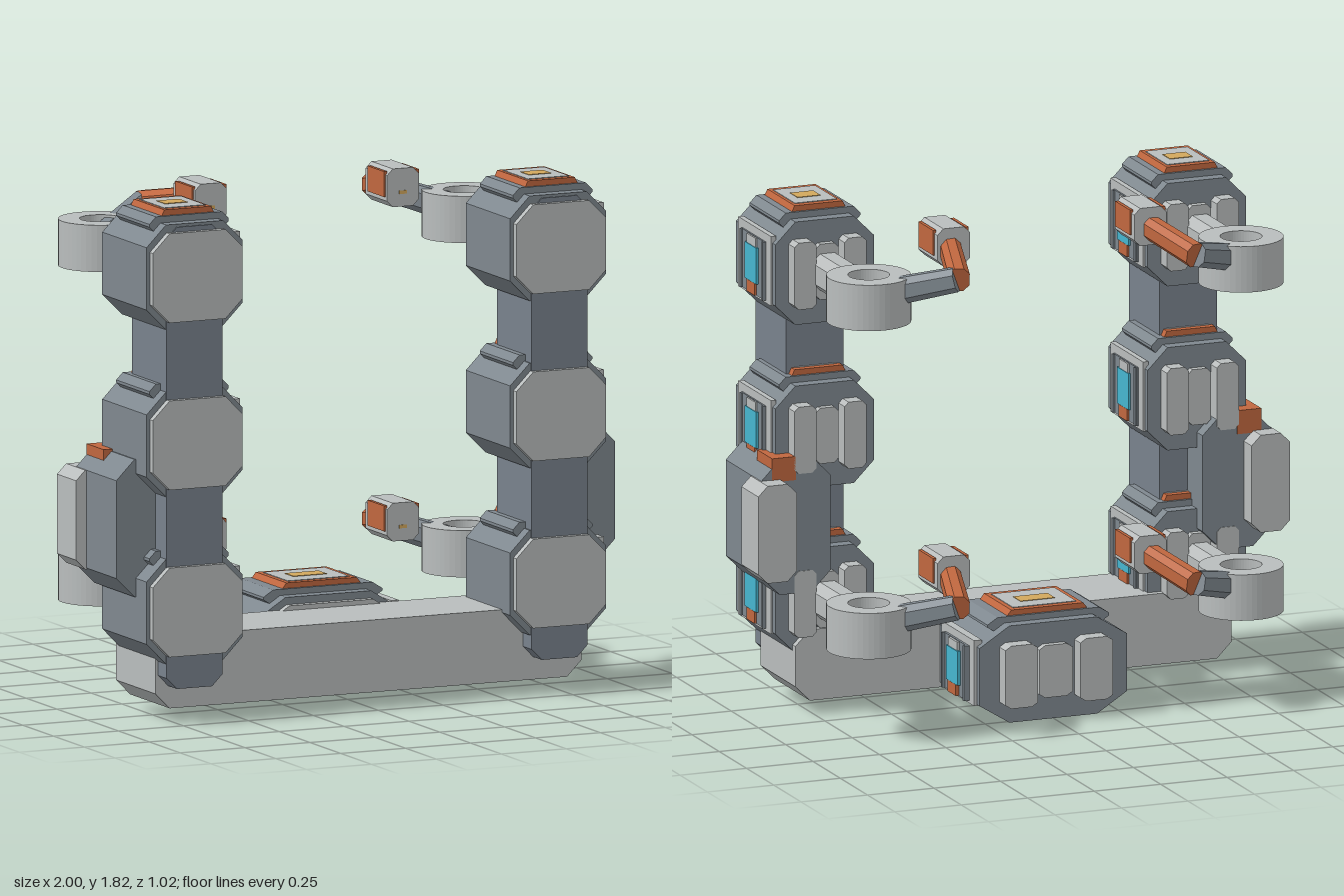
import * as THREE from 'three';

const mat = (name, color, flat = true) => {
  const m = new THREE.MeshStandardMaterial({ color, flatShading: flat });
  m.name = name;
  return m;
};
const LIGHT = mat('light grey', 0xb9bdbd);
const STEEL = mat('steel grey', 0x7f888f);
const COLUMN = mat('column grey', 0x79828c);
const ORANGE = mat('orange', 0xc0673f);
const CYAN = mat('cyan', 0x46b5cf);
const GOLD = mat('gold', 0xd2a75c);

function add(parent, name, geo, material, x = 0, y = 0, z = 0) {
  const m = new THREE.Mesh(geo, material);
  m.name = name;
  m.position.set(x, y, z);
  parent.add(m);
  return m;
}

const box = (w, h, d) => new THREE.BoxGeometry(w, h, d);

// Box with its four z-running edges cut by cx, cy, centred on the origin
function chamferBox(w, h, d, cx, cy = cx) {
  const a = w / 2, b = h / 2;
  const pts = [[a, -b + cy], [a, b - cy], [a - cx, b], [-a + cx, b],
    [-a, b - cy], [-a, -b + cy], [-a + cx, -b], [a - cx, -b]];
  const shape = new THREE.Shape(pts.map(p => new THREE.Vector2(...p)));
  return new THREE.ExtrudeGeometry(shape, { depth: d, bevelEnabled: false }).translate(0, 0, -d / 2);
}

// Chamfered bar running from a to b, narrowing by the taper factor
function limb(parent, name, a, b, w, h, taper, material) {
  const from = new THREE.Vector3(...a), to = new THREE.Vector3(...b);
  const len = from.distanceTo(to);
  const geo = chamferBox(w, h, len, w * 0.28);
  const p = geo.attributes.position;
  for (let i = 0; i < p.count; i++) {
    const k = p.getZ(i) > 0 ? taper : 1;
    p.setXY(i, p.getX(i) * k, p.getY(i) * k);
  }
  geo.computeVertexNormals();
  const m = add(parent, name, geo, material);
  m.position.copy(from).add(to).multiplyScalar(0.5);
  m.lookAt(to);
}

// Equipment pod: octagonal body, front plate, cap, vents and a side panel
function makePod(name) {
  const g = new THREE.Group();
  g.name = name;
  add(g, 'podBody', chamferBox(0.37, 0.37, 0.36, 0.075), STEEL);
  add(g, 'frontPlate', chamferBox(0.345, 0.315, 0.03, 0.065), LIGHT, 0, 0, 0.19);

  // Stepped cap with framed lid
  add(g, 'cap', chamferBox(0.305, 0.06, 0.27, 0.025), STEEL, 0, 0.178, 0);
  const lid = box(0.205, 0.025, 0.25);
  const p = lid.attributes.position;
  for (let i = 0; i < p.count; i++) if (p.getY(i) > 0) p.setX(i, p.getX(i) * 0.88);
  lid.computeVertexNormals();
  add(g, 'lidFrame', lid, ORANGE, 0, 0.216, 0);
  add(g, 'lidPlate', box(0.158, 0.004, 0.2), LIGHT, 0, 0.229, 0);
  add(g, 'lidMark', box(0.086, 0.004, 0.068), GOLD, 0, 0.231, -0.003);

  // Three back vents
  for (const x of [-1, 0, 1]) {
    const d = x ? 0.075 : 0.045;
    add(g, 'backVent', chamferBox(x ? 0.082 : 0.084, x ? 0.24 : 0.2, d, 0.015), LIGHT,
      x * 0.094, 0.003, -0.16 - d / 2);
  }

  // Display panel on the +x side
  add(g, 'sidePlate', box(0.02, 0.25, 0.3), LIGHT, 0.182, 0.01, -0.005);
  add(g, 'sidePanel', box(0.016, 0.21, 0.215), STEEL, 0.19, 0, -0.005);
  for (const s of [-1, 1]) {
    add(g, 'sideRail', box(0.008, 0.21, 0.012), STEEL, 0.201, 0, -0.005 + s * 0.1);
  }
  add(g, 'screenTab', box(0.008, 0.035, 0.08), LIGHT, 0.2, 0.085, -0.003);
  add(g, 'screen', box(0.009, 0.13, 0.105), CYAN, 0.202, 0.005, -0.003);
  add(g, 'screenFoot', box(0.009, 0.043, 0.075), ORANGE, 0.202, -0.082, -0.003);
  return g;
}

// Jointed arm on the +x column, built around y = 0 at the mount
function makeArm() {
  const g = new THREE.Group();
  g.name = 'arm';
  add(g, 'mountBar', chamferBox(0.115, 0.13, 0.29, 0.03), LIGHT, 0.7, 0, -0.005);

  // Ring joint
  const ring = new THREE.Shape().absarc(0, 0, 0.148, 0, Math.PI * 2);
  ring.holes.push(new THREE.Path().absarc(0, 0, 0.073, 0, Math.PI * 2, true));
  const ringGeo = new THREE.ExtrudeGeometry(ring, { depth: 0.165, bevelEnabled: false, curveSegments: 24 });
  ringGeo.rotateX(-Math.PI / 2);
  add(g, 'ringJoint', ringGeo, LIGHT, 0.7, -0.085, -0.28);

  // Upper arm, elbow and forearm
  limb(g, 'upperArm', [0.71, 0.0, -0.275], [0.45, 0.085, -0.475], 0.085, 0.1, 0.85, STEEL);
  limb(g, 'forearm', [0.445, 0.085, -0.485], [0.375, 0.135, -0.23], 0.075, 0.085, 0.95, ORANGE);

  // Hand block with coloured cheeks
  add(g, 'hand', chamferBox(0.122, 0.135, 0.175, 0.022), LIGHT, 0.37, 0.142, -0.167);
  for (const s of [-1, 1]) {
    add(g, 'handCheek', box(0.012, 0.09, 0.135), ORANGE, 0.37 + s * 0.061, 0.155, -0.16);
  }
  add(g, 'handMark', box(0.03, 0.012, 0.004), GOLD, 0.37, 0.125, -0.079);
  return g;
}

export function createModel() {
  const root = new THREE.Group();
  root.name = 'dockingFrame';

  // Base beam and its wide central pod
  add(root, 'baseBeam', chamferBox(1.64, 0.255, 0.32, 0.055), LIGHT, 0, 0.178, 0.26);
  const centre = makePod('centrePod');
  centre.scale.set(1.5, 0.94, 1);
  centre.position.set(0, 0.174, -0.085);
  root.add(centre);

  const levels = [0.405, 0.995, 1.585];
  for (const s of [-1, 1]) {
    // Column with three stacked pods
    add(root, 'column', chamferBox(0.215, 1.63, 0.28, 0.04), COLUMN, s * 0.7025, 0.945, 0.35);
    for (const y of levels) {
      const pod = makePod('columnPod');
      pod.position.set(s * 0.7, y, 0.305);
      root.add(pod);
    }

    // Outer pack on the column
    add(root, 'outerPack', chamferBox(0.26, 0.485, 0.325, 0.07), STEEL, s * 0.83, 0.692, 0.235);
    add(root, 'packTank', chamferBox(0.145, 0.35, 0.155, 0.035), LIGHT, s * 0.9275, 0.69, 0.078);
    add(root, 'packLatch', box(0.09, 0.085, 0.14), ORANGE, s * 0.875, 0.9, 0.14);

    // Arms on the lowest and highest pods
    for (const y of [levels[0], levels[2]]) {
      const arm = makeArm();
      arm.position.y = y + 0.003;
      arm.scale.x = s;
      root.add(arm);
    }
  }
  return root;
}
